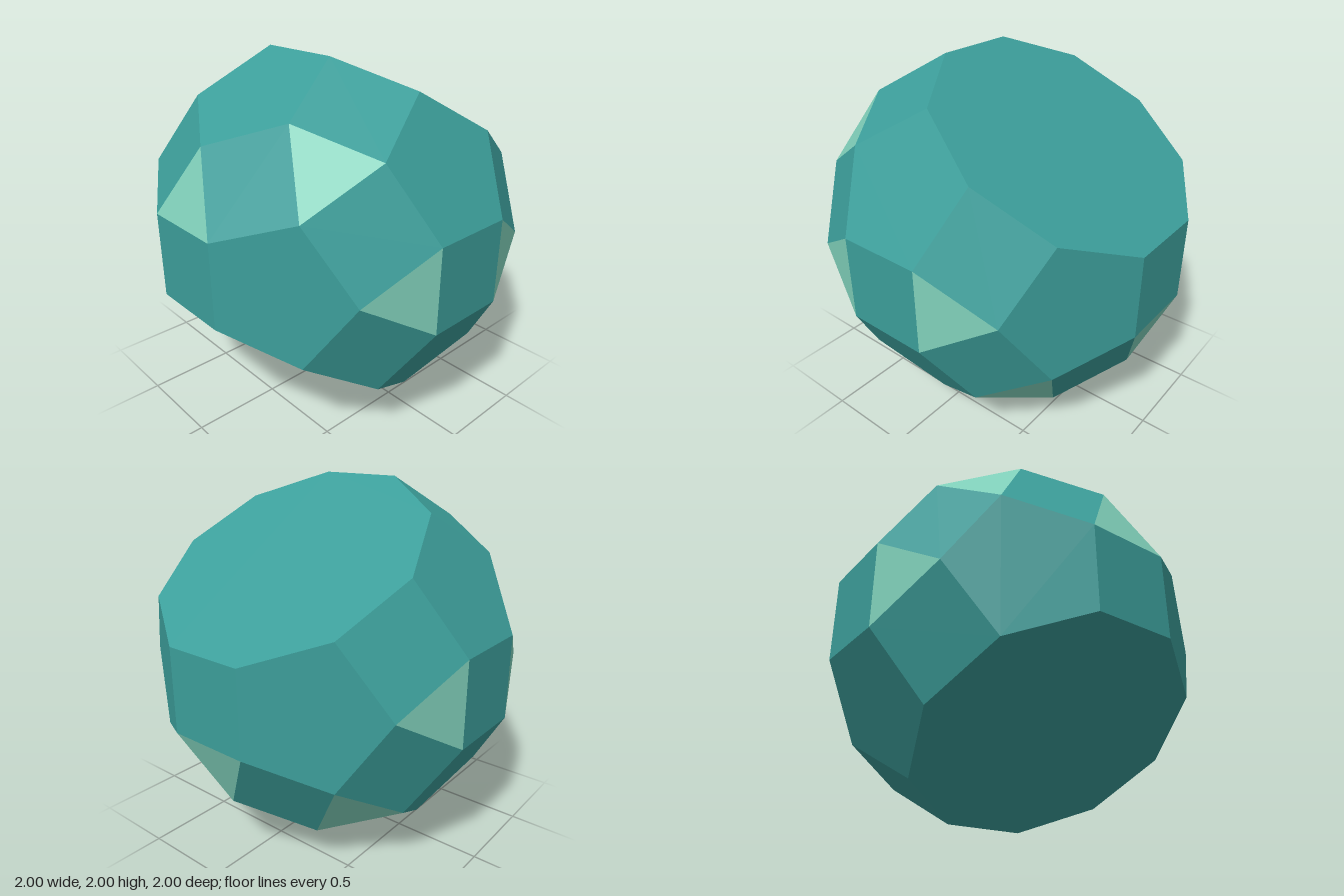
import * as THREE from 'three';

const PHI = (1 + Math.sqrt(5)) / 2;

// All sign choices and cyclic shifts of one coordinate triple, without repeats
function cyclic(a, b, c) {
  const found = new Map();
  for (const sx of [1, -1]) for (const sy of [1, -1]) for (const sz of [1, -1]) {
    const [x, y, z] = [a * sx, b * sy, c * sz];
    for (const p of [[x, y, z], [y, z, x], [z, x, y]]) {
      found.set(p.map(n => Math.round(n * 10000)).join(), new THREE.Vector3(...p));
    }
  }
  return [...found.values()];
}

// Corners of a rhombicosidodecahedron, with two opposite caps sliced away
const cutAxis = new THREE.Vector3(1, PHI, 0);
const corners = [
  ...cyclic(1, 1, PHI ** 3),
  ...cyclic(PHI, PHI ** 2, 2 * PHI),
  ...cyclic(0, 2 + PHI, PHI ** 2),
].map(v => v.divideScalar(PHI ** 3)).filter(v => Math.abs(v.dot(cutAxis)) < 1.4);

// The flat face lying furthest out along a direction, corners in order
function faceAlong(direction) {
  const n = direction.clone().normalize();
  const reach = Math.max(...corners.map(v => v.dot(n)));
  const face = corners.filter(v => v.dot(n) > reach - 0.0001);
  const centre = face.reduce((s, v) => s.add(v), new THREE.Vector3()).divideScalar(face.length);
  const u = face[0].clone().sub(centre).normalize();
  const w = n.clone().cross(u);
  const angle = v => {
    const d = v.clone().sub(centre);
    return Math.atan2(d.dot(w), d.dot(u));
  };
  return face.sort((p, q) => angle(p) - angle(q));
}

// Face directions: icosahedron corners, edge middles and triangle middles
function faceDirections() {
  const axes = cyclic(0, 1, PHI);
  const near = (a, b) => Math.abs(a.dot(b) - PHI) < 0.0001;
  const all = [...axes];
  axes.forEach((a, i) => axes.forEach((b, j) => {
    if (j <= i || !near(a, b)) return;
    all.push(a.clone().add(b));
    axes.forEach((c, k) => {
      if (k > j && near(a, c) && near(b, c)) all.push(a.clone().add(b).add(c));
    });
  }));
  return all;
}

export function createModel() {
  const teal = new THREE.MeshStandardMaterial({ color: 0x3c9e9a, flatShading: true });
  teal.name = 'teal';
  const mint = new THREE.MeshStandardMaterial({ color: 0x80d0ba, flatShading: true });
  mint.name = 'mint';

  // Face kinds by number of sides
  const kinds = {
    3: { name: 'triangleFaces', material: mint, positions: [] },
    4: { name: 'squareFaces', material: teal, positions: [] },
    5: { name: 'pentagonFaces', material: teal, positions: [] },
    10: { name: 'decagonCuts', material: teal, positions: [] },
  };
  for (const direction of faceDirections()) {
    const face = faceAlong(direction);
    const kind = kinds[face.length];
    if (!kind) continue; // sliced away with the caps
    for (let i = 1; i < face.length - 1; i++) {
      for (const v of [face[0], face[i], face[i + 1]]) kind.positions.push(v.x, v.y + 1, v.z);
    }
  }

  const group = new THREE.Group();
  group.name = 'slicedPolyhedron';
  for (const { name, material, positions } of Object.values(kinds)) {
    const geometry = new THREE.BufferGeometry();
    geometry.setAttribute('position', new THREE.Float32BufferAttribute(positions, 3));
    geometry.computeVertexNormals();
    const mesh = new THREE.Mesh(geometry, material);
    mesh.name = name;
    group.add(mesh);
  }
  return group;
}
